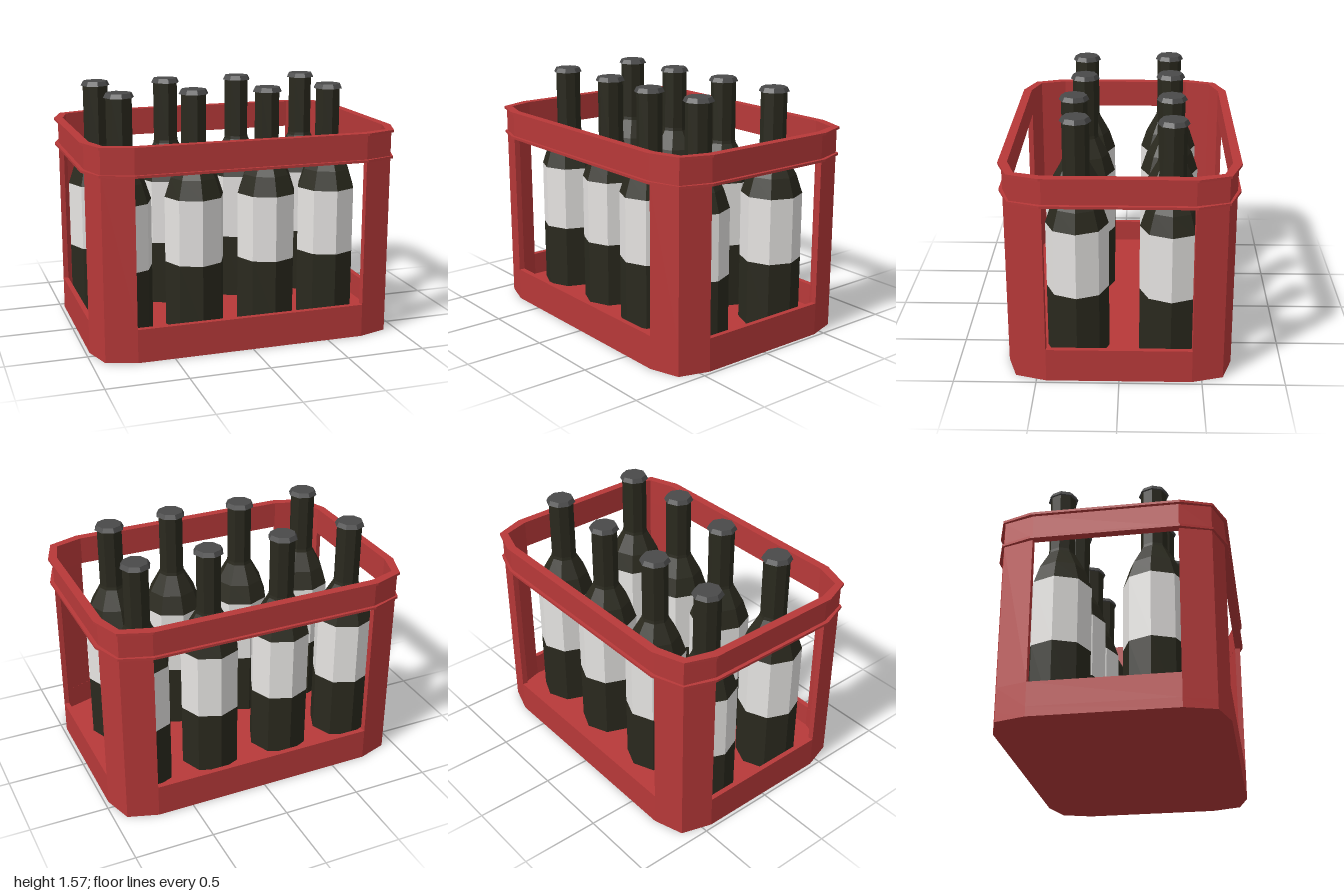
import * as THREE from 'three';

const flat = (name, color) => {
  const m = new THREE.MeshStandardMaterial({ color, flatShading: true });
  m.name = name;
  return m;
};

// One quarter of each chamfered outline, from the long side round to the short side
const BODY = [[0.73, 0.69], [0.918, 0.63], [0.977, 0.44]];
const LIP = [[0.733, 0.71], [0.93, 0.64], [1.0, 0.45]];
const INNER = [[0.72, 0.655], [0.895, 0.6], [0.945, 0.435]];

// Mirror a quarter into the full twelve-sided outline
function outline(quarter) {
  const back = [...quarter].reverse();
  return [
    ...quarter,
    ...back.map(([x, z]) => [x, -z]),
    ...quarter.map(([x, z]) => [-x, -z]),
    ...back.map(([x, z]) => [-x, z]),
  ].map(([x, z]) => new THREE.Vector2(x, z));
}

// Extrude a plan shape upwards from y0 to y1
function raise(shape, y0, y1) {
  const g = new THREE.ExtrudeGeometry(shape, { depth: y1 - y0, bevelEnabled: false });
  return g.rotateX(-Math.PI / 2).translate(0, y0, 0);
}

// The hole runs opposite to the outline so that its walls face inwards
function ring(outer, y0, y1) {
  const shape = new THREE.Shape(outline(outer));
  shape.holes.push(new THREE.Path(outline(INNER).reverse()));
  return raise(shape, y0, y1);
}

export function createModel() {
  const red = flat('crate red', 0xb83939);
  const glass = flat('dark glass', 0x2a291e);
  const paper = flat('label white', 0xe6e4e2);
  const metal = flat('cap grey', 0x4a4a4a);

  const model = new THREE.Group();
  model.name = 'bottleCrate';
  const add = (parent, name, geometry, material) => {
    const mesh = new THREE.Mesh(geometry, material);
    mesh.name = name;
    parent.add(mesh);
  };

  // Crate: floor, low wall, upper band and its two lips
  const crate = new THREE.Group();
  crate.name = 'crate';
  model.add(crate);
  add(crate, 'floor', raise(new THREE.Shape(outline(BODY)), 0, 0.06), red);
  add(crate, 'lowerWall', ring(BODY, 0.06, 0.21), red);
  add(crate, 'lowerLip', ring(LIP, 1.135, 1.15), red);
  add(crate, 'upperBand', ring(BODY, 1.15, 1.3), red);
  add(crate, 'upperLip', ring(LIP, 1.3, 1.315), red);

  // Corner posts wrapping each chamfered corner
  const post = [...BODY, [0.945, 0.435], [0.895, 0.6], [0.725, 0.655]];
  for (const sx of [-1, 1]) {
    for (const sz of [-1, 1]) {
      const shape = new THREE.Shape(post.map(([x, z]) => new THREE.Vector2(sx * x, sz * z)));
      add(crate, 'cornerPost', raise(shape, 0.21, 1.135), red);
    }
  }

  // Eight-sided bottle parts, shared by all bottles
  const lathe = (...points) =>
    new THREE.LatheGeometry(points.map(([r, y]) => new THREE.Vector2(r, y)), 8);
  const base = lathe([0, 0.061], [0.192, 0.061], [0.192, 0.48]);
  const label = lathe([0.192, 0.48], [0.192, 0.9]);
  const neck = lathe([0.192, 0.9], [0.152, 1.02], [0.085, 1.14], [0.081, 1.16], [0.081, 1.54]);
  const cap = lathe([0.07, 1.54], [0.095, 1.54], [0.08, 1.568], [0, 1.568]);

  // Bottle places, slightly uneven in the front row
  const places = [
    [-0.748, -0.311], [-0.278, -0.311], [0.22, -0.311], [0.685, -0.311],
    [-0.72, 0.26], [-0.247, 0.249], [0.22, 0.293], [0.645, 0.26],
  ];
  for (const [x, z] of places) {
    const bottle = new THREE.Group();
    bottle.name = 'bottle';
    bottle.position.set(x, 0, z);
    add(bottle, 'bottleBase', base, glass);
    add(bottle, 'label', label, paper);
    add(bottle, 'bottleNeck', neck, glass);
    add(bottle, 'cap', cap, metal);
    model.add(bottle);
  }
  return model;
}
